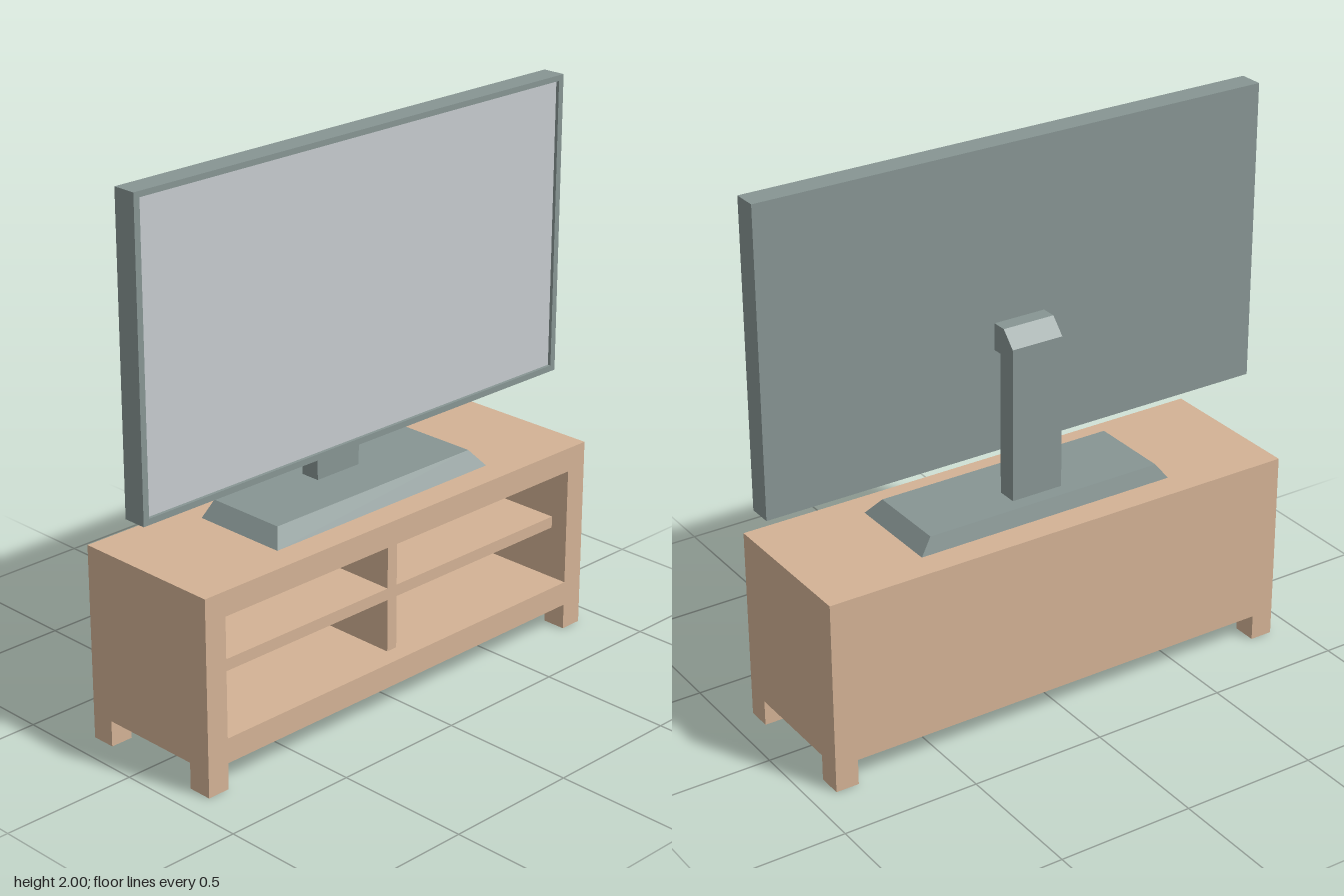
import * as THREE from 'three';

const paint = (color) => new THREE.MeshStandardMaterial({ color, flatShading: true });

// Adds a named mesh to a parent
function add(parent, name, geometry, material) {
  const mesh = new THREE.Mesh(geometry, material);
  mesh.name = name;
  parent.add(mesh);
  return mesh;
}

// Box given by its lower and upper bounds on each axis
function block([x0, x1], [y0, y1], [z0, z1]) {
  return new THREE.BoxGeometry(x1 - x0, y1 - y0, z1 - z0)
    .translate((x0 + x1) / 2, (y0 + y1) / 2, (z0 + z1) / 2);
}

function rect(target, x, y0, y1) {
  return target.moveTo(-x, y0).lineTo(x, y0).lineTo(x, y1).lineTo(-x, y1).closePath();
}

// Rectangular frame with a rectangular opening, from z0 to z1
function frame(outer, inner, z0, z1) {
  const shape = rect(new THREE.Shape(), ...outer);
  shape.holes.push(rect(new THREE.Path(), ...inner));
  return new THREE.ExtrudeGeometry(shape, { depth: z1 - z0, bevelEnabled: false }).translate(0, 0, z0);
}

function createCabinet() {
  const cabinet = new THREE.Group();
  cabinet.name = 'cabinet';
  const wood = paint(0xd3b295);
  const W = 0.907, D = 0.285, IN = 0.822, BACK = -0.2, FRONT = 0.217;

  // Case open at the front, closed by a back panel
  add(cabinet, 'case', frame([W, 0.095, 0.709], [IN, 0.185, 0.62], BACK, D), wood);
  add(cabinet, 'backPanel', block([-W, W], [0.095, 0.709], [-D, BACK]), wood);

  // Recessed shelf and the dividers above and below it
  add(cabinet, 'shelf', block([-IN, IN], [0.38, 0.423], [BACK, FRONT]), wood);
  for (const [name, y] of [['lowerDivider', [0.185, 0.38]], ['upperDivider', [0.423, 0.62]]]) {
    add(cabinet, name, block([-0.022, 0.022], y, [BACK, FRONT]), wood);
  }

  // Four short corner legs
  for (const sx of [-1, 1]) for (const sz of [-1, 1]) {
    const name = (sz > 0 ? 'front' : 'back') + (sx > 0 ? 'Left' : 'Right') + 'Leg';
    const leg = add(cabinet, name, new THREE.BoxGeometry(W - IN, 0.095, 0.089), wood);
    leg.position.set(sx * (W + IN) / 2, 0.0475, sz * (D - 0.0445));
  }
  return cabinet;
}

function createTelevision() {
  const television = new THREE.Group();
  television.name = 'television';
  const plastic = paint(0x879593);
  const W = 0.972, BACK = -0.008, RECESS = 0.066, FRONT = 0.079;

  // Housing, raised bezel and recessed screen
  add(television, 'housing', block([-W, W], [0.91, 2], [BACK, RECESS]), plastic);
  add(television, 'bezel', frame([W, 0.91, 2], [0.949, 0.932, 1.98], RECESS, FRONT), plastic);
  add(television, 'screen', block([-0.949, 0.949], [0.932, 1.98], [RECESS - 0.004, RECESS + 0.001]),
    paint(0xc6cbce));

  // Neck: hooked side profile (z, y) extruded across x
  const profile = [[-0.042, 0.767], [-0.042, 1.285], [BACK, 1.285], [BACK, 1.382],
    [-0.063, 1.382], [-0.116, 1.326], [-0.116, 0.767]];
  const side = new THREE.Shape(profile.map(([z, y]) => new THREE.Vector2(-z, y)));
  const neck = new THREE.ExtrudeGeometry(side, { depth: 0.196, bevelEnabled: false })
    .translate(0, 0, -0.098).rotateY(Math.PI / 2);
  add(television, 'neck', neck, plastic);

  // Base: a box whose top corners are drawn inward
  const base = block([-0.5, 0.5], [0.709, 0.767], [-0.183, 0.183]);
  const p = base.attributes.position;
  for (let i = 0; i < p.count; i++) {
    if (p.getY(i) < 0.74) continue;
    p.setX(i, Math.sign(p.getX(i)) * 0.456);
    p.setZ(i, p.getZ(i) > 0 ? 0.138 : -0.167);
  }
  base.computeVertexNormals();
  add(television, 'base', base, plastic);
  return television;
}

export function createModel() {
  const model = new THREE.Group();
  model.name = 'televisionOnCabinet';
  model.add(createCabinet(), createTelevision());
  return model;
}
